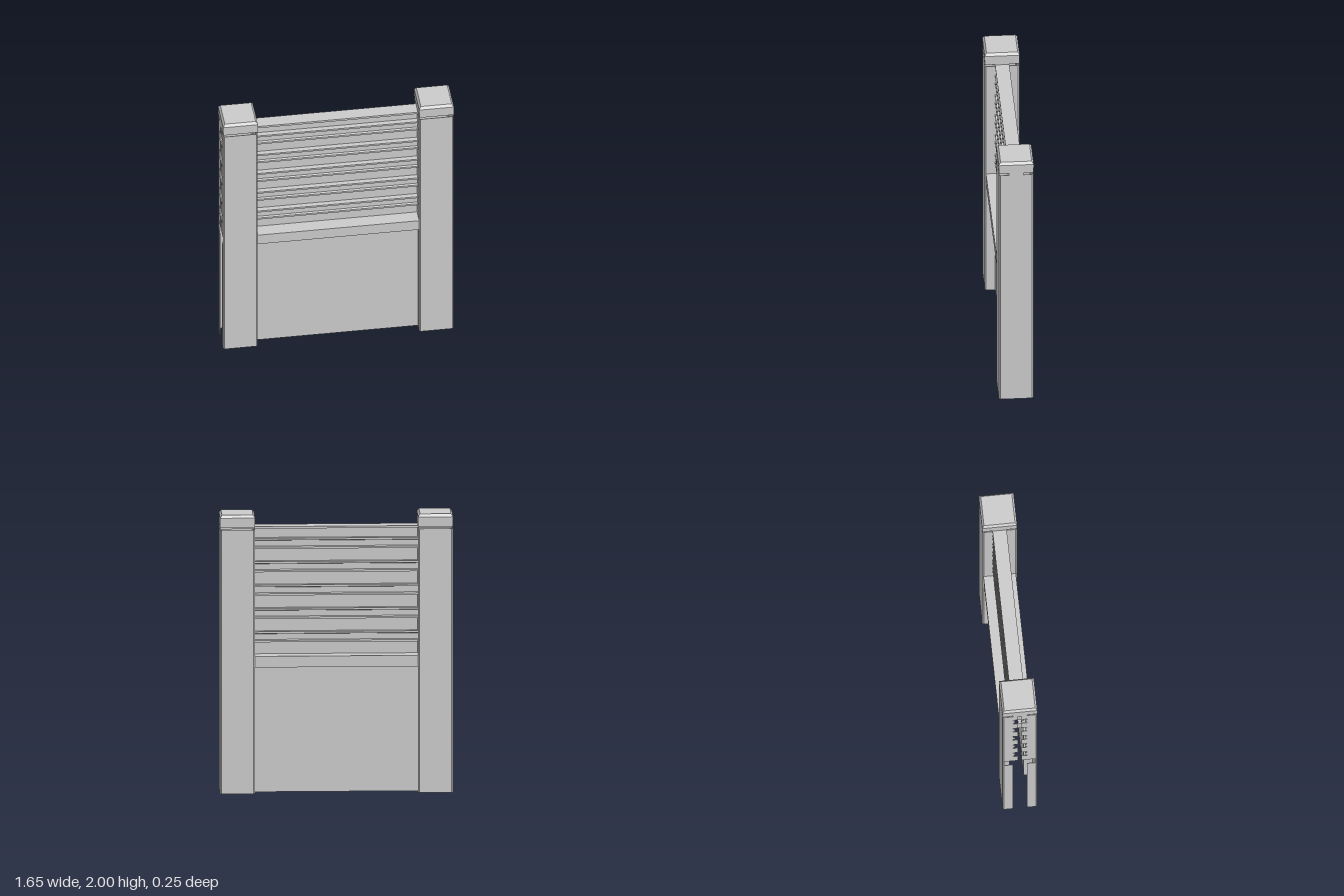
import * as THREE from 'three';

const POST_X = 0.7, HALF = 0.123, CHAMFER = 0.01, POST_TOP = 1.895, WALL = 0.004;
const material = new THREE.MeshStandardMaterial({ color: 0xcccccc, flatShading: true, side: THREE.DoubleSide });

function add(parent, name, geometry, x = 0, y = 0, z = 0) {
  const mesh = new THREE.Mesh(geometry, material);
  mesh.name = name;
  mesh.position.set(x, y, z);
  parent.add(mesh);
  return mesh;
}

// Half section of the fence panel as [z, y], from the ground up
function panelProfile() {
  const web = 0.012, tip = 0.05, dip = 0.035;
  const p = [[tip, 0], [tip, 0.905], [0.115, 0.905], [0.115, 0.985], [web, 0.985]];
  for (let i = 0; i < 5; i++) {
    const y = 1.112 + i * 0.1677; // middle of each double-lipped ridge
    p.push([web, y - 0.038], [tip, y - 0.038], [tip, y - 0.025], [dip, y - 0.02],
      [dip, y + 0.02], [tip, y + 0.025], [tip, y + 0.038], [web, y + 0.038]);
  }
  p.push([web, 1.89], [tip, 1.89], [tip, 1.905]);
  return p;
}

// Hollow panel: the section swept along x, open at both ends and below
function panelGeometry(profile, halfLength) {
  const outline = [...profile, ...profile.map(([z, y]) => [-z, y]).reverse()];
  const positions = [];
  for (let i = 0; i < outline.length - 1; i++) {
    const [z0, y0] = outline[i], [z1, y1] = outline[i + 1];
    const a = [-halfLength, y0, z0], b = [halfLength, y0, z0];
    const c = [halfLength, y1, z1], d = [-halfLength, y1, z1];
    positions.push(...a, ...b, ...c, ...a, ...c, ...d);
  }
  const g = new THREE.BufferGeometry();
  g.setAttribute('position', new THREE.Float32BufferAttribute(positions, 3));
  g.computeVertexNormals();
  return g;
}

// Post side plate on one side of the slot, cut to the panel section
function flangeGeometry(profile, side) {
  const edge = HALF - CHAMFER;
  const inner = profile.map(([z, y]) => new THREE.Vector2(Math.min(z, edge - 0.002), Math.min(y, POST_TOP)));
  const shape = new THREE.Shape([...inner, new THREE.Vector2(edge, POST_TOP), new THREE.Vector2(edge, 0)]);
  const g = new THREE.ExtrudeGeometry(shape, { depth: WALL, bevelEnabled: false });
  g.translate(0, 0, -WALL / 2);
  return g.rotateY(-side * Math.PI / 2);
}

// Front or back post wall with chamfered corners
function wallGeometry(side) {
  const h = HALF, c = CHAMFER, t = WALL;
  const shape = new THREE.Shape([
    [-h, h - c], [-h + t, h - c], [-h + c + t / 2, h - t], [h - c - t / 2, h - t],
    [h - t, h - c], [h, h - c], [h - c, h], [-h + c, h],
  ].map(([x, z]) => new THREE.Vector2(x, z)));
  const g = new THREE.ExtrudeGeometry(shape, { depth: POST_TOP, bevelEnabled: false });
  g.rotateX(-Math.PI / 2).translate(0, 0, 0); // wall now lies at -z
  return side > 0 ? g.rotateY(Math.PI) : g;
}

// Square cap with a sloped upper edge
function capGeometry() {
  const r = Math.SQRT2;
  const pts = [[0, 1.91], [HALF, 1.91], [HALF + 0.001, 1.98], [HALF - 0.013, 2], [0, 2]];
  const g = new THREE.LatheGeometry(pts.map(([x, y]) => new THREE.Vector2(x * r, y)), 4, Math.PI / 4).toNonIndexed();
  g.computeVertexNormals();
  return g;
}

export function createModel() {
  const model = new THREE.Group();
  model.name = 'fenceSection';
  const profile = panelProfile();
  add(model, 'panel', panelGeometry(profile, POST_X - HALF));

  for (const end of [-1, 1]) {
    const post = new THREE.Group();
    post.name = end > 0 ? 'leftEndPost' : 'rightSlottedPost';
    post.position.x = end * POST_X;
    const plateX = HALF - WALL / 2;
    for (const side of [-1, 1]) {
      add(post, side > 0 ? 'frontWall' : 'backWall', wallGeometry(side));
      add(post, 'slotFlange', flangeGeometry(profile, side), -plateX);
      if (end < 0) add(post, 'innerFlange', flangeGeometry(profile, side), plateX);
    }
    // The end post is closed on its outer side
    if (end > 0) {
      add(post, 'closedSide', new THREE.BoxGeometry(WALL, POST_TOP, 2 * (HALF - CHAMFER)), plateX, POST_TOP / 2);
    }
    // Neck leaves a narrow shadow gap under the cap
    add(post, 'capNeck', new THREE.BoxGeometry(2 * HALF, 0.025, 0.1), 0, 1.9);
    add(post, 'cap', capGeometry());
    model.add(post);
  }
  return model;
}
